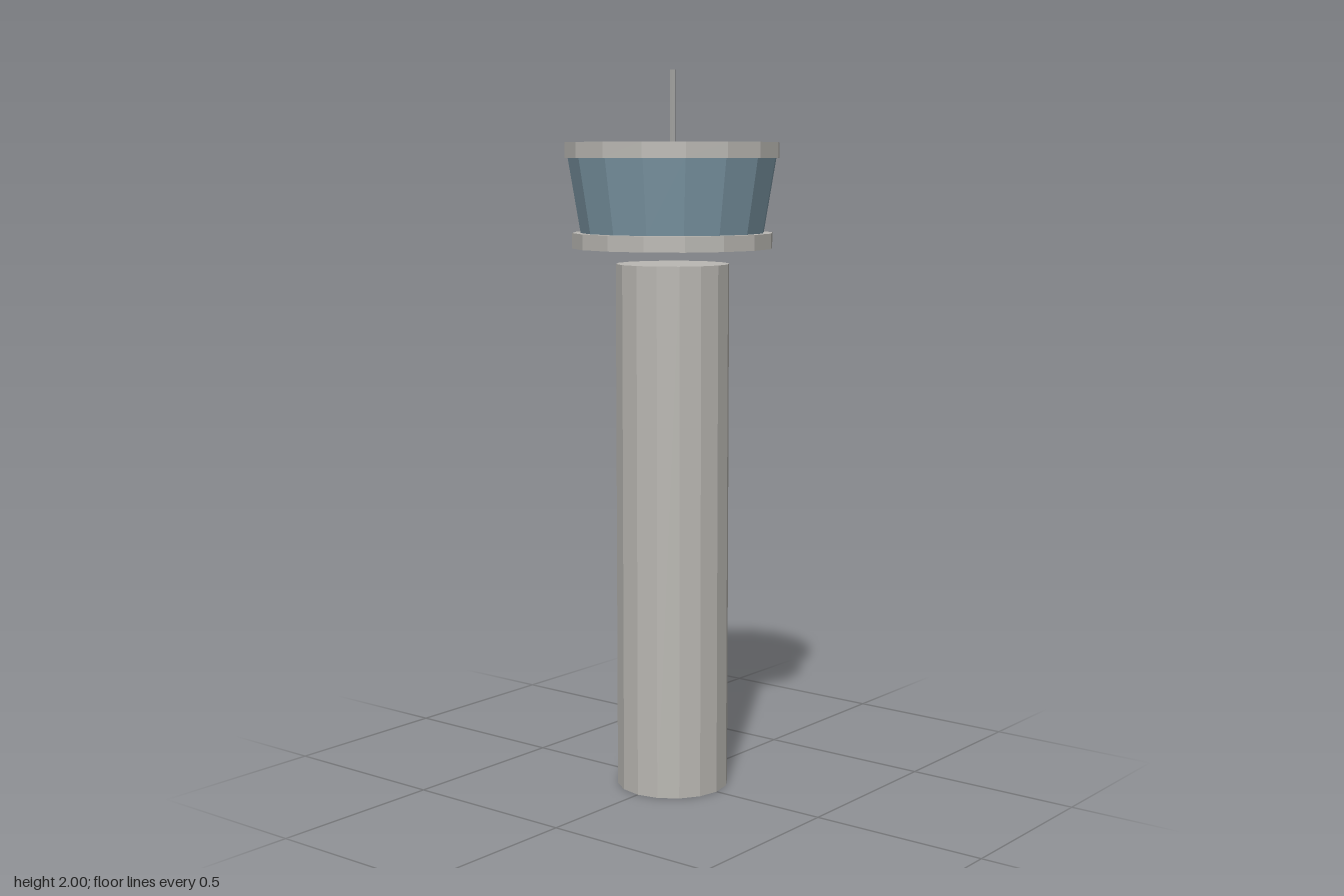
import * as THREE from 'three';

// Control tower: faceted shaft, glazed cab between two slabs, thin mast
export function createModel() {
  const tower = new THREE.Group();
  tower.name = 'controlTower';

  const flat = (name, color) => {
    const material = new THREE.MeshStandardMaterial({ color, flatShading: true });
    material.name = name;
    return material;
  };
  const concrete = flat('concrete', 0xbab8b3);
  const glass = flat('blueGlass', 0x7d98a6);
  const metal = flat('mastGrey', 0xa6a6a4);

  // Upright faceted drum spanning two heights
  const drum = (name, material, bottomRadius, topRadius, y0, y1, sides = 16) => {
    const geometry = new THREE.CylinderGeometry(topRadius, bottomRadius, y1 - y0, sides);
    const mesh = new THREE.Mesh(geometry, material);
    mesh.name = name;
    mesh.position.y = (y0 + y1) / 2;
    tower.add(mesh);
  };

  drum('shaft', concrete, 0.157, 0.157, 0, 1.475);
  // The cab floor sits just clear of the shaft
  drum('cabFloor', concrete, 0.277, 0.277, 1.518, 1.56);
  drum('cabWindows', glass, 0.253, 0.287, 1.56, 1.763);
  drum('roofSlab', concrete, 0.295, 0.295, 1.763, 1.805);
  drum('mast', metal, 0.0085, 0.0085, 1.805, 2, 6);

  return tower;
}
